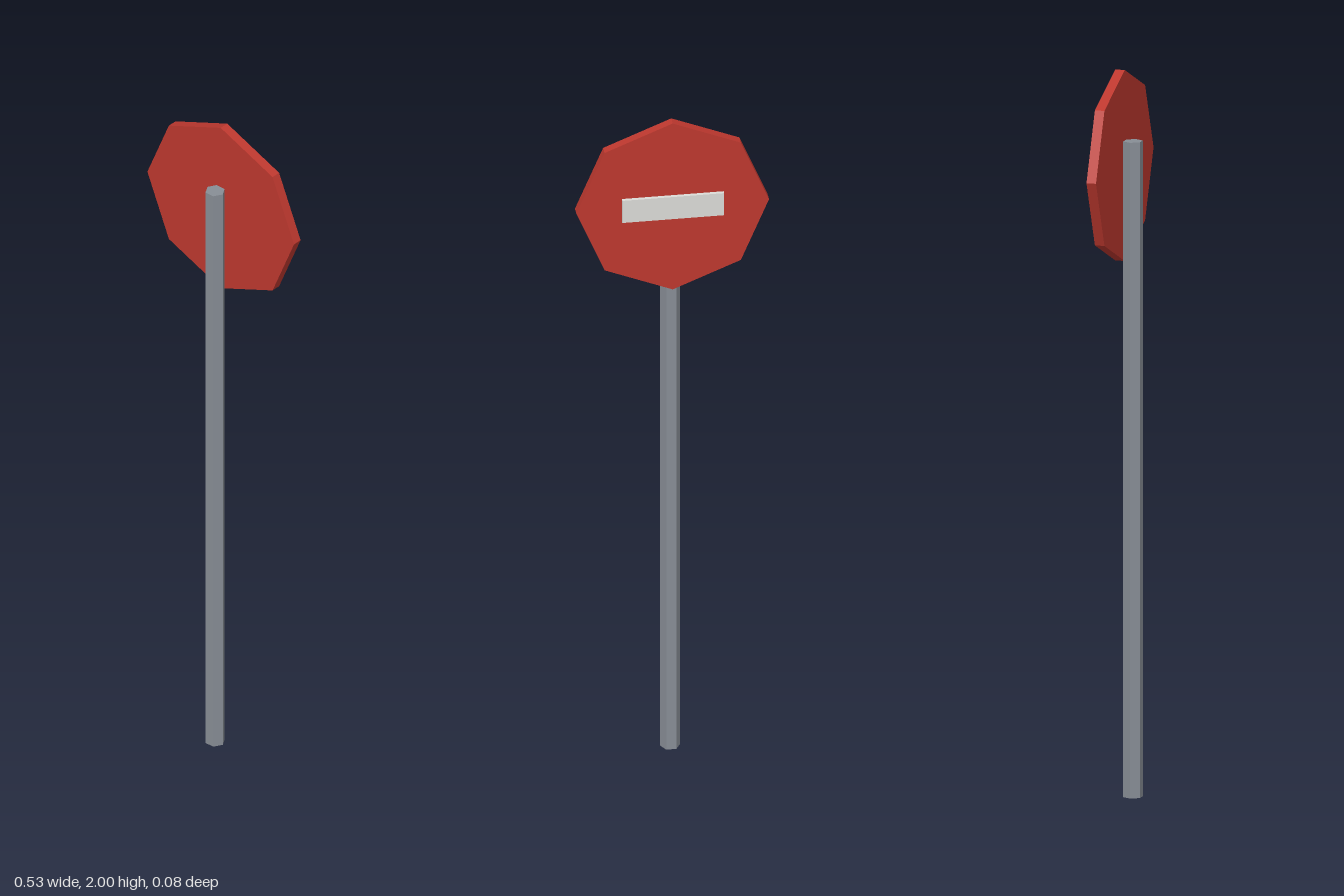
import * as THREE from 'three';

function flat(name, color) {
  const m = new THREE.MeshStandardMaterial({ color, flatShading: true });
  m.name = name;
  return m;
}

export function createModel() {
  const model = new THREE.Group();
  model.name = 'roadSign';

  const add = (name, geometry, material, x, y, z) => {
    const mesh = new THREE.Mesh(geometry, material);
    mesh.name = name;
    mesh.position.set(x, y, z);
    model.add(mesh);
  };

  // Hexagonal post, corners towards +x and -x
  const postHeight = 1.806;
  const post = new THREE.CylinderGeometry(0.0275, 0.0275, postHeight, 6, 1, false, Math.PI / 2);
  add('post', post, flat('postGrey', 0x888e96), 0, postHeight / 2, 0.018);

  // Octagonal board standing on one corner
  const board = new THREE.CylinderGeometry(0.263, 0.263, 0.027, 8).rotateX(Math.PI / 2);
  add('board', board, flat('signRed', 0xbe382f), 0, 1.737, -0.0185);

  // Pale bar on the back-facing side of the board
  const bar = new THREE.BoxGeometry(0.278, 0.07, 0.01);
  add('bar', bar, flat('paleGrey', 0xdcdcd8), 0, 1.738, -0.037);

  return model;
}
